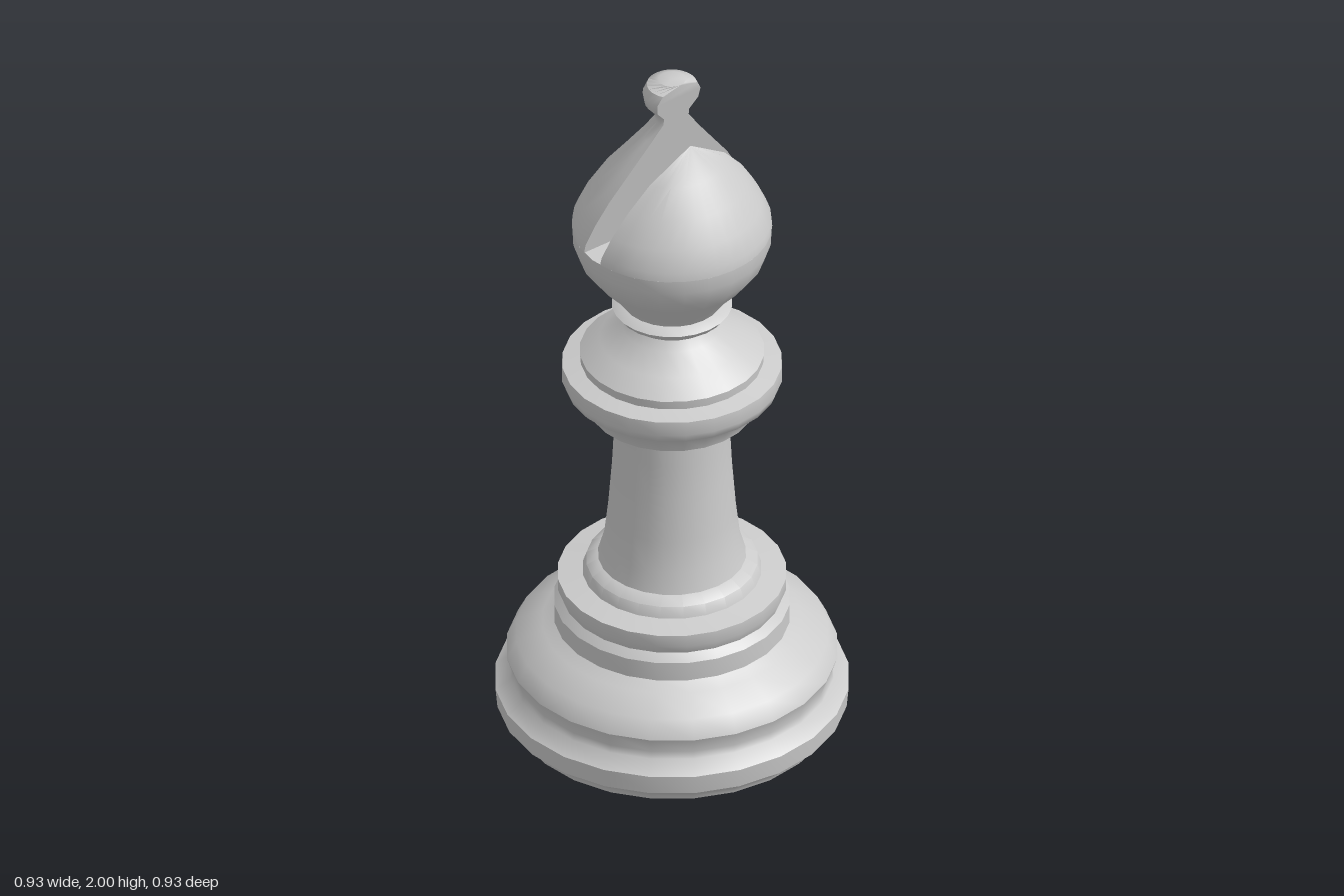
import * as THREE from 'three';
import { toCreasedNormals } from 'three/addons/utils/BufferGeometryUtils.js';

const CREASE = 0.75;
const SLOT_FLOOR = 1.535;
const SLOT_SLOPE = 0.165;
const material = new THREE.MeshStandardMaterial({ color: 0xcccccc });

function addMesh(group, name, geometry) {
  const mesh = new THREE.Mesh(toCreasedNormals(geometry, CREASE), material);
  mesh.name = name;
  group.add(mesh);
}

// Turned part from a [radius, height] profile, closed at both ends
function turned(profile) {
  const first = profile[0], last = profile[profile.length - 1];
  const points = [[0, first[1]], ...profile, [0, last[1]]];
  return new THREE.LatheGeometry(points.map(([r, y]) => new THREE.Vector2(r, y)), 24);
}

// Turned part kept only on one side (-1 or 1 in x) of a plane leaning with the slot
function slicedTurned(profile, side, slotX) {
  const n = 16, positions = [], index = [];
  profile.forEach(([r, y]) => {
    const cut = slotX + SLOT_SLOPE * (y - SLOT_FLOOR);
    const a = Math.acos(THREE.MathUtils.clamp(cut / Math.max(r, 1e-4), -1, 1));
    const start = side > 0 ? -a : a;
    const end = side > 0 ? a : 2 * Math.PI - a;
    for (let j = 0; j <= n; j++) {
      const t = start + (end - start) * j / n;
      positions.push(r * Math.cos(t), y, r * Math.sin(t));
    }
  });
  // The last column joins back to the first and forms the flat slot wall
  const cols = n + 1;
  for (let i = 0; i < profile.length - 1; i++) {
    for (let j = 0; j < cols; j++) {
      const k = (j + 1) % cols;
      const a = i * cols + j, b = a + cols, c = i * cols + k, d = c + cols;
      index.push(a, b, c, b, d, c);
    }
  }
  const geometry = new THREE.BufferGeometry();
  geometry.setAttribute('position', new THREE.Float32BufferAttribute(positions, 3));
  geometry.setIndex(index);
  return geometry;
}

export function createModel() {
  const group = new THREE.Group();
  group.name = 'bishopChessPiece';

  // Wide foot and stepped rings
  addMesh(group, 'base', turned([
    [0.42, 0], [0.425, 0.015], [0.46, 0.045], [0.465, 0.1], [0.425, 0.13], [0.42, 0.15],
    [0.435, 0.195], [0.41, 0.245], [0.34, 0.28], [0.31, 0.3], [0.31, 0.355],
    [0.29, 0.375], [0.3, 0.4], [0.3, 0.435], [0.235, 0.445], [0.225, 0.475], [0.19, 0.495],
  ]));

  // Slim tapering stem
  addMesh(group, 'stem', turned([
    [0.195, 0.49], [0.178, 0.55], [0.168, 0.64], [0.158, 0.77], [0.153, 0.87], [0.153, 0.945],
  ]));

  // Collar with a sloping top and a thin neck ring
  addMesh(group, 'collar', turned([
    [0.175, 0.945], [0.22, 0.968], [0.235, 1.01], [0.28, 1.04], [0.29, 1.065], [0.288, 1.105],
    [0.24, 1.115], [0.242, 1.14], [0.19, 1.18], [0.13, 1.22], [0.112, 1.245],
    [0.145, 1.27], [0.158, 1.288], [0.13, 1.305],
  ]));

  // Lower head up to the slot floor
  addMesh(group, 'lowerHead', turned([
    [0.13, 1.3], [0.165, 1.35], [0.21, 1.4], [0.243, 1.445], [0.26, 1.495], [0.262, SLOT_FLOOR],
  ]));

  // Upper head, split in two by the leaning slot; the larger half carries the finial
  const shoulder = [
    [0.262, SLOT_FLOOR], [0.26, 1.56], [0.235, 1.615], [0.195, 1.68], [0.14, 1.75], [0.0787, 1.83],
  ];
  const finial = [
    [0.045, 1.88], [0.046, 1.9], [0.072, 1.93], [0.077, 1.96], [0.066, 1.985], [0.036, 2], [0, 2],
  ];
  addMesh(group, 'headHalfWithFinial', slicedTurned([...shoulder, ...finial], -1, -0.04));
  addMesh(group, 'headHalf', slicedTurned(shoulder, 1, 0.03));

  return group;
}
